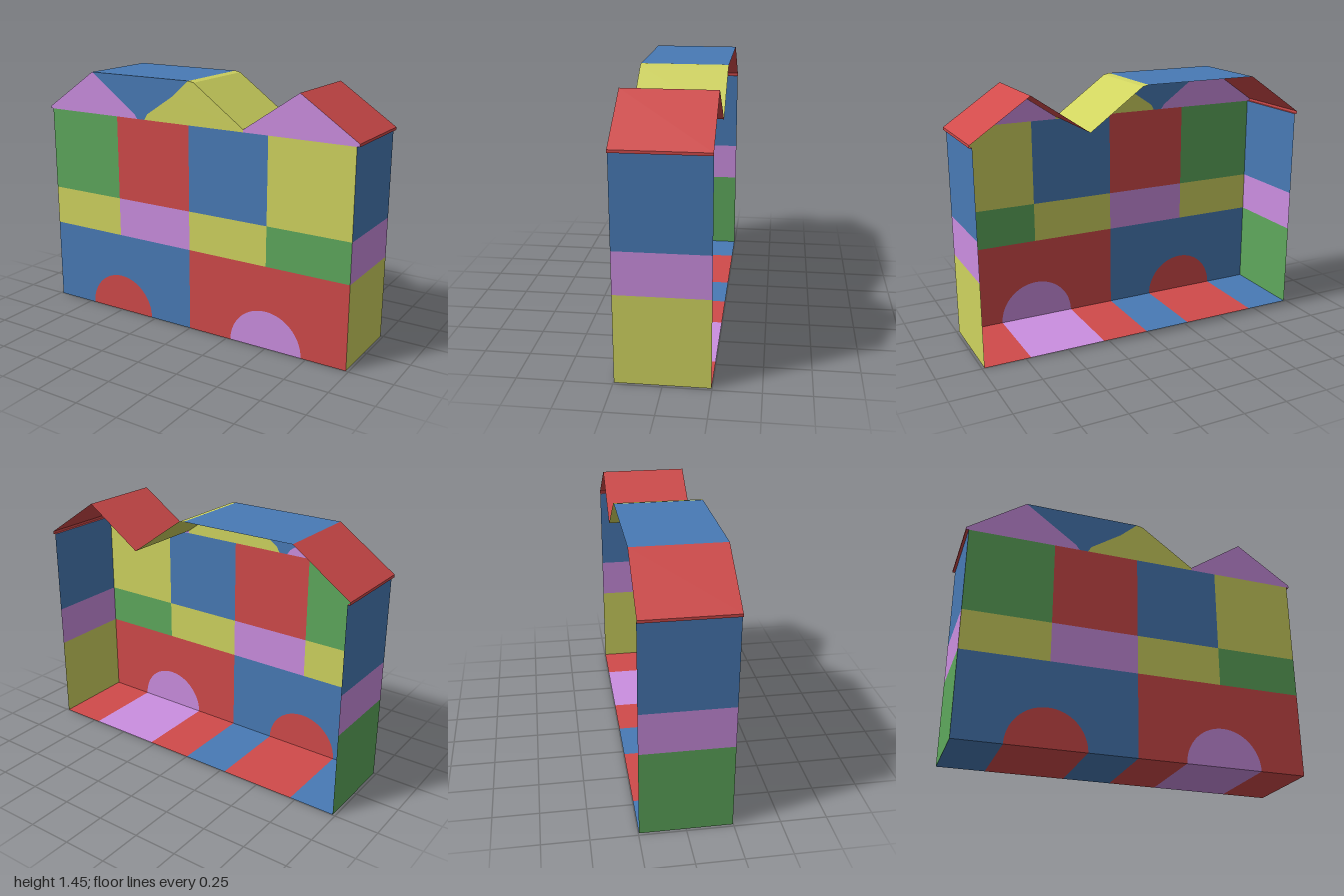
import * as THREE from 'three';

export function createModel() {
  const group = new THREE.Group();
  group.name = 'openBackedBlockHouse';

  const mat = (name, color) => {
    const m = new THREE.MeshStandardMaterial({ color, side: THREE.DoubleSide });
    m.name = name;
    return m;
  };
  const red = mat('red', 0xd04a4a);
  const blue = mat('blue', 0x487ab5);
  const yellow = mat('yellow', 0xcfd35f);
  const green = mat('green', 0x5ea85c);
  const purple = mat('purple', 0xcb8ee0);

  const Z = 0.247;                    // half depth
  const W = 0.985;                    // half width of the walls
  const Y1 = 0.485, Y2 = 0.715, Y3 = 1.207; // storey heights
  const EAVE = 1.222, PEAK = 1.45;
  const R = 0.222, C = 0.498;         // arch radius and centre

  const add = (name, geometry, material) => {
    const mesh = new THREE.Mesh(geometry, material);
    mesh.name = name;
    group.add(mesh);
  };

  // flat piece of the front face, corners counter-clockwise
  const front = (name, material, shape) => {
    if (Array.isArray(shape)) shape = new THREE.Shape(shape.map(([x, y]) => new THREE.Vector2(x, y)));
    const g = new THREE.ShapeGeometry(shape, 24);
    g.translate(0, 0, Z);
    add(name, g, material);
  };
  const block = (name, material, x0, x1, y0, y1) =>
    front(name, material, [[x0, y0], [x1, y0], [x1, y1], [x0, y1]]);

  // full-depth panel between two points of the outline, going clockwise
  const strip = (name, material, [ax, ay], [bx, by]) => {
    const g = new THREE.BufferGeometry();
    g.setAttribute('position', new THREE.Float32BufferAttribute(
      [ax, ay, Z, bx, by, Z, bx, by, -Z, ax, ay, -Z], 3));
    g.setIndex([0, 1, 2, 0, 2, 3]);
    g.computeVertexNormals();
    add(name, g, material);
  };

  // ground storey: a block with an arch cut out, and the arch itself
  const archBlock = (x0, x1, c, wall, arch) => {
    const s = new THREE.Shape();
    s.moveTo(x0, 0);
    s.lineTo(x0, Y1);
    s.lineTo(x1, Y1);
    s.lineTo(x1, 0);
    s.lineTo(c + R, 0);
    s.absarc(c, 0, R, 0, Math.PI, false);
    s.closePath();
    front('groundBlock', wall, s);
    const a = new THREE.Shape();
    a.absarc(c, 0, R, 0, Math.PI, false);
    a.closePath();
    front('archDoor', arch, a);
    // floor strips continue the colours backwards
    strip('floor', wall, [x1, 0], [c + R, 0]);
    strip('archFloor', arch, [c + R, 0], [c - R, 0]);
    strip('floor', wall, [c - R, 0], [x0, 0]);
  };
  archBlock(-W, 0, -C, blue, red);
  archBlock(0, W, C, red, purple);

  // middle and upper storeys
  const xs = [-W, -0.495, 0, 0.495, W];
  [yellow, purple, yellow, green].forEach((m, i) => block('middleBlock', m, xs[i], xs[i + 1], Y1, Y2));
  [green, red, blue, yellow].forEach((m, i) => block('upperBlock', m, xs[i], xs[i + 1], Y2, Y3));

  // side walls
  const ys = [0, Y1, Y2, Y3];
  [green, purple, blue].forEach((m, i) => strip('sideWallRight', m, [-W, ys[i]], [-W, ys[i + 1]]));
  [yellow, purple, blue].forEach((m, i) => strip('sideWallLeft', m, [W, ys[i + 1]], [W, ys[i]]));

  // gable fronts
  front('gableRight', purple, [[-1, Y3], [-0.35, Y3], [-0.37, 1.235], [-0.67, PEAK], [-1, EAVE]]);
  front('gableMiddle', blue, [[-0.35, Y3], [-0.3, Y3], [-0.28, 1.24], [-0.1, 1.36], [0, PEAK], [-0.67, PEAK], [-0.37, 1.235]]);
  front('gableSlope', yellow, [[-0.3, Y3], [0.345, Y3], [0.345, EAVE], [0.035, 1.443], [0, PEAK], [-0.1, 1.36], [-0.28, 1.24]]);
  front('gableLeft', purple, [[0.345, Y3], [1, Y3], [1, EAVE], [0.67, 1.443], [0.345, EAVE]]);

  // roof skin from right eave to left eave
  const roof = [
    [red, -W, Y3], [red, -1, Y3], [red, -1, EAVE], [blue, -0.67, PEAK], [yellow, 0, PEAK],
    [yellow, 0.035, 1.443], [red, 0.345, EAVE], [red, 0.67, 1.443], [red, 1, EAVE], [red, 1, Y3], [red, W, Y3],
  ];
  for (let i = 0; i < roof.length - 1; i++) {
    strip('roofPanel', roof[i][0], roof[i].slice(1), roof[i + 1].slice(1));
  }

  return group;
}
